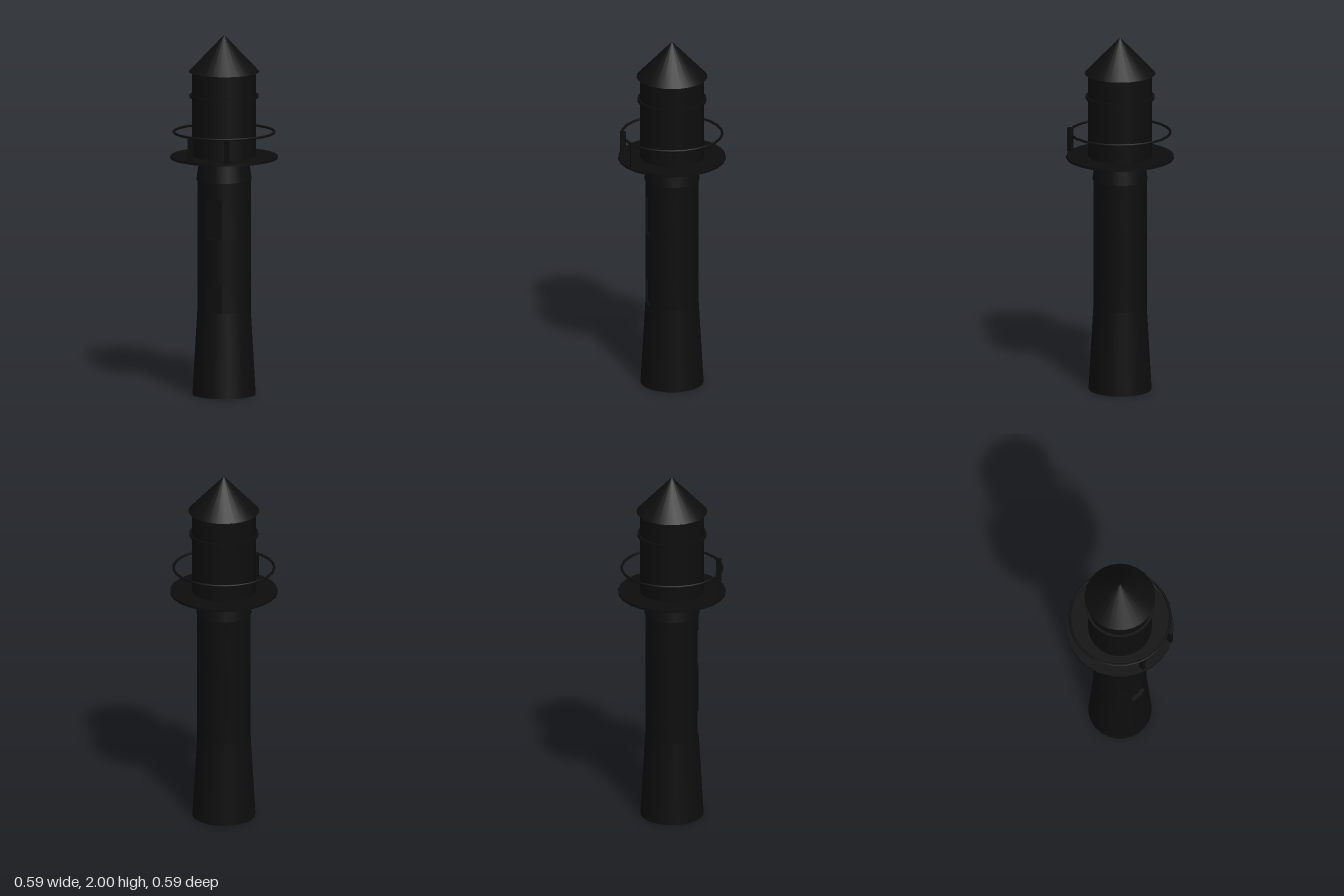
import * as THREE from 'three';
import { toCreasedNormals } from 'three/addons/utils/BufferGeometryUtils.js';

const SIDES = 25;
const black = new THREE.MeshStandardMaterial({ color: 0x0d0d0d });

export function createModel() {
  const model = new THREE.Group();

  function add(name, geometry, y = 0, x = 0, z = 0) {
    const mesh = new THREE.Mesh(geometry, black);
    mesh.name = name;
    mesh.position.set(x, y, z);
    model.add(mesh);
    return mesh;
  }

  // Upright round section between two heights, with a corner on +x
  function drum(name, rBottom, rTop, y0, y1) {
    const g = new THREE.CylinderGeometry(rTop, rBottom, y1 - y0, SIDES, 1, false, Math.PI / 2);
    return add(name, g, (y0 + y1) / 2);
  }

  // Round section with a flat-backed window recess cut into the front
  function windowDrum(name, r, y0, y1) {
    const halfWidth = 0.05, back = 0.122;
    const a = Math.asin(halfWidth / r);
    const points = [];
    for (let i = 0; i <= SIDES; i++) {
      const t = a + (i / SIDES) * (2 * Math.PI - 2 * a);
      points.push(new THREE.Vector2(r * Math.sin(t), -r * Math.cos(t)));
    }
    points.push(new THREE.Vector2(-halfWidth, -back), new THREE.Vector2(halfWidth, -back));
    const g = new THREE.ExtrudeGeometry(new THREE.Shape(points), { depth: y1 - y0, bevelEnabled: false });
    g.rotateX(-Math.PI / 2);
    return add(name, toCreasedNormals(g, 0.5), y0);
  }

  // Tower
  drum('towerBase', 0.174, 0.147, 0, 0.47);
  windowDrum('lowerWindowWall', 0.147, 0.47, 0.62);
  drum('towerMiddle', 0.147, 0.147, 0.62, 0.88);
  windowDrum('upperWindowWall', 0.147, 0.88, 1.1);
  drum('towerTop', 0.147, 0.147, 1.1, 1.2);
  drum('collar', 0.152, 0.135, 1.195, 1.32);

  // Gallery with its rail and the two posts at the front
  drum('galleryFloor', 0.296, 0.296, 1.314, 1.327);
  const rail = new THREE.TorusGeometry(0.277, 0.007, 8, SIDES);
  rail.rotateX(Math.PI / 2);
  add('galleryRail', rail, 1.46);
  for (const x of [-0.09, 0.13]) {
    add('railPost', new THREE.BoxGeometry(0.02, 0.135, 0.03), 1.393, x, 0.255);
  }

  // Lantern room, its band and the roof
  drum('lanternRoom', 0.176, 0.176, 1.32, 1.8);
  drum('lanternBand', 0.19, 0.19, 1.653, 1.668);
  const roof = new THREE.ConeGeometry(0.195, 0.205, SIDES, 1, false, Math.PI / 2);
  add('roof', roof, 1.8975);

  return model;
}
